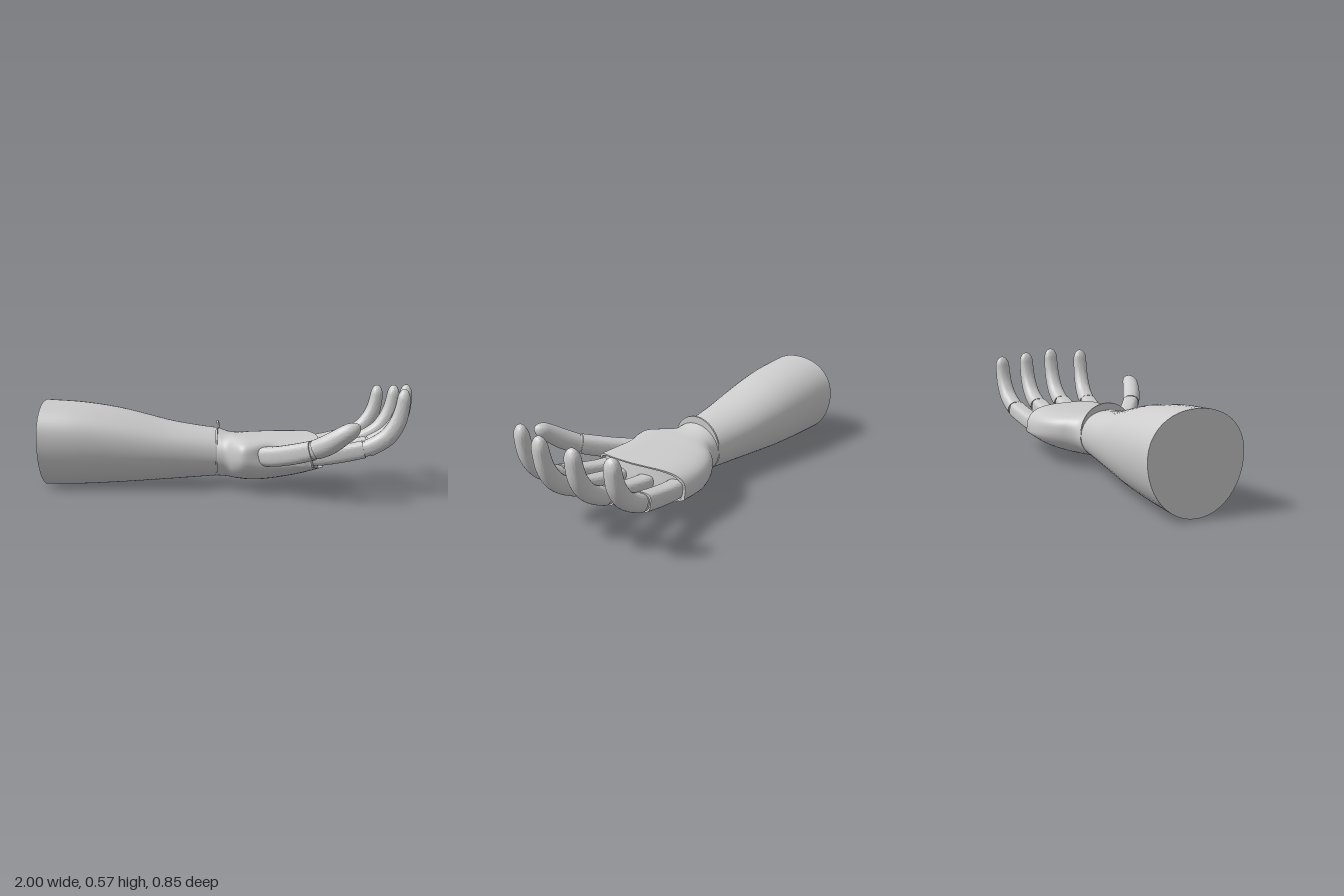
import * as THREE from 'three';
import { toCreasedNormals } from 'three/addons/utils/BufferGeometryUtils.js';

const material = new THREE.MeshStandardMaterial({ color: 0xcccccc });
const SIDES = 48;

// Smooth interpolation of rows [t, a, b, ...]
function table(rows) {
  const n = rows[0].length - 1;
  const curve = new THREE.CubicInterpolant(rows.map(r => r[0]), rows.flatMap(r => r.slice(1)), n, new Float32Array(n));
  return t => Array.from(curve.evaluate(t));
}

// Superellipse unit circle
function unit(j, n) {
  const a = (j / SIDES) * Math.PI * 2, p = 2 / n;
  const f = v => Math.sign(v) * Math.abs(v) ** p;
  return [f(Math.cos(a)), f(Math.sin(a))];
}

// Skin closed rings and cap both ends
function loft(name, rings, crease = 0.6) {
  const pos = rings.flat().flatMap(v => v.toArray()), idx = [];
  const last = rings.length - 1;
  for (let i = 0; i < last; i++) for (let j = 0; j < SIDES; j++) {
    const k = (j + 1) % SIDES, a = i * SIDES, b = a + SIDES;
    idx.push(a + j, a + k, b + k, a + j, b + k, b + j);
  }
  for (const i of [0, last]) {
    const c = rings[i].reduce((s, v) => s.add(v), new THREE.Vector3()).divideScalar(SIDES);
    const ci = pos.length / 3;
    pos.push(c.x, c.y, c.z);
    for (let j = 0; j < SIDES; j++) {
      const p = i * SIDES + j, q = i * SIDES + (j + 1) % SIDES;
      if (i) idx.push(ci, p, q); else idx.push(ci, q, p);
    }
  }
  const g = new THREE.BufferGeometry();
  g.setAttribute('position', new THREE.Float32BufferAttribute(pos, 3));
  g.setIndex(idx);
  const mesh = new THREE.Mesh(toCreasedNormals(g, crease), material);
  mesh.name = name;
  return mesh;
}

// Section across x: z range, bottom, top, height of widest line, upper and lower squareness
function section(xAt, [z0, z1, bottom, top, mid, nu, nl], scale = 1) {
  return Array.from({ length: SIDES }, (_, j) => {
    const up = Math.cos((j / SIDES) * Math.PI * 2) > 0;
    const [u, v] = unit(j, up ? nu : nl);
    const y = mid + u * scale * (up ? top - mid : mid - bottom);
    const z = (z0 + z1) / 2 + v * scale * (z1 - z0) / 2;
    return new THREE.Vector3(xAt(z, y), y, z);
  });
}

function forearm() {
  const at = table([
    [-1, -0.335, 0.135, 0.0, 0.477, 0.27],
    [-0.8, -0.328, 0.13, 0.004, 0.464, 0.262],
    [-0.6, -0.313, 0.115, 0.015, 0.435, 0.245],
    [-0.45, -0.292, 0.102, 0.026, 0.4, 0.23],
    [-0.3, -0.27, 0.088, 0.038, 0.363, 0.215],
    [-0.15, -0.248, 0.074, 0.051, 0.338, 0.2],
    [-0.048, -0.235, 0.066, 0.06, 0.325, 0.19]]);
  const rings = [];
  for (let i = 0; i <= 30; i++) {
    const x = -1 + (i / 30) * 0.952;
    rings.push(section(() => x, [...at(x), 2.15, 2]));
  }
  return loft('forearm', rings);
}

function palm() {
  const at = table([
    [0, -0.235, 0.068, 0.06, 0.325, 0.19, 2, 2],
    [0.1, -0.24, 0.085, 0.057, 0.305, 0.19, 2.3, 2],
    [0.18, -0.265, 0.14, 0.053, 0.297, 0.19, 2.8, 2],
    [0.28, -0.305, 0.187, 0.05, 0.295, 0.19, 3.2, 2],
    [0.42, -0.342, 0.192, 0.05, 0.293, 0.185, 3.5, 2],
    [0.6, -0.37, 0.17, 0.06, 0.293, 0.175, 3.6, 2],
    [0.8, -0.383, 0.165, 0.085, 0.293, 0.165, 3.6, 2],
    [1, -0.385, 0.165, 0.125, 0.293, 0.155, 3.6, 2]]);
  // Curved, slightly leaning knuckle edge
  const end = (z, y) => 0.53 - (z > 0 ? 2.57 : 0.81) * z * z - 0.03 * Math.max(0, y - 0.15) / 0.14;
  const rings = [];
  for (let i = 0; i <= 40; i++) {
    const t = i / 40;
    rings.push(section((z, y) => -0.04 + t * (end(z, y) + 0.04), at(t)));
  }
  // Recessed face behind a rim
  for (const s of [0.94, 0.9, 0.6, 0.3])
    rings.push(section((z, y) => end(z, y) - (s > 0.92 ? 0.004 : 0.025), at(1), s));
  // Hollow around the thumb root
  for (const v of rings.flat()) {
    if (v.z < 0.05) continue;
    const d = ((v.x - 0.25) / 0.1) ** 2 + ((v.y - 0.215) / 0.05) ** 2;
    v.z -= 0.03 * Math.exp(-d);
  }
  return loft('palm', rings);
}

// Digit segment: rows [x, y, z, half width, half thickness], side is the hinge axis
function segment(name, rows, side, squareness, roundEnd = 0) {
  const at = table(rows.map((r, i) => [i / (rows.length - 1), ...r]));
  const rings = [], N = 28;
  for (let i = 0; i <= N; i++) {
    // Rings gather toward a rounded tip
    const t = roundEnd ? Math.sin((i / N) * Math.PI / 2) : i / N;
    const [x, y, z, w, h] = at(t);
    const p = at(Math.max(0, t - 0.01)), q = at(Math.min(1, t + 0.01));
    const d = new THREE.Vector3(q[0] - p[0], q[1] - p[1], q[2] - p[2]).normalize();
    const u = new THREE.Vector3().crossVectors(side, d).normalize();
    const r = Math.max(0, (t - 1 + roundEnd) / (roundEnd || 1));
    const f = roundEnd ? Math.max(0.02, Math.sqrt(Math.max(0, 1 - r * r))) : 1;
    rings.push(Array.from({ length: SIDES }, (_, j) => {
      const [a, b] = unit(j, squareness);
      return new THREE.Vector3(x, y, z).addScaledVector(u, a * h * f).addScaledVector(side, b * w * f);
    }));
  }
  return loft(name, rings, 0.7);
}

// Finger from base (x, z) to tip (x, z) with a given tip height
function finger(name, bx, bz, tx, tz, top) {
  const g = new THREE.Group();
  g.name = name;
  const side = new THREE.Vector3(bz - tz, 0, tx - bx).normalize();
  const place = rows => rows.map(([x, y, w, h]) => {
    const s = (x - 0.48) / 0.52;
    return [bx + s * (tx - bx), 0.2 + (y - 0.2) * (top - 0.2) / 0.372, bz + s * (tz - bz), w, h];
  });
  g.add(
    segment('lowerSegment', place([[0.48, 0.195, 0.044, 0.044], [0.55, 0.2, 0.046, 0.045],
      [0.66, 0.22, 0.046, 0.045], [0.765, 0.245, 0.047, 0.045]]), side, 3.4),
    segment('joint', place([[0.75, 0.24, 0.041, 0.039], [0.775, 0.247, 0.041, 0.039],
      [0.805, 0.26, 0.041, 0.039]]), side, 2.8),
    segment('fingertip', place([[0.785, 0.25, 0.047, 0.045], [0.85, 0.285, 0.046, 0.045],
      [0.9, 0.327, 0.045, 0.045], [0.943, 0.4, 0.043, 0.042],
      [0.964, 0.485, 0.041, 0.036], [0.971, 0.572, 0.039, 0.031]]), side, 2.4, 0.14));
  return g;
}

function thumb() {
  const g = new THREE.Group();
  g.name = 'thumb';
  const side = new THREE.Vector3(-0.5, 0, 0.86).normalize();
  g.add(
    segment('thumbBase', [[0.19, 0.2, 0.12, 0.046, 0.05], [0.28, 0.212, 0.185, 0.046, 0.052],
      [0.37, 0.235, 0.245, 0.047, 0.052], [0.455, 0.262, 0.3, 0.047, 0.05]], side, 3),
    segment('thumbJoint', [[0.44, 0.257, 0.29, 0.042, 0.045], [0.46, 0.264, 0.302, 0.042, 0.045],
      [0.49, 0.276, 0.32, 0.042, 0.045]], side, 2.5),
    segment('thumbTip', [[0.47, 0.268, 0.31, 0.048, 0.05], [0.53, 0.3, 0.342, 0.052, 0.052],
      [0.6, 0.35, 0.372, 0.049, 0.046], [0.672, 0.4, 0.392, 0.042, 0.036]], side, 2.2, 0.22));
  return g;
}

export function createModel() {
  const model = new THREE.Group();
  model.name = 'forearmAndHand';
  // Thin plate between forearm and palm
  const plate = new THREE.Mesh(new THREE.CylinderGeometry(1, 1, 0.01, 64), material);
  plate.name = 'wristPlate';
  plate.rotation.z = Math.PI / 2;
  plate.scale.set(0.153, 1, 0.15);
  plate.position.set(-0.045, 0.211, -0.085);
  model.add(
    forearm(), plate, palm(), thumb(),
    finger('indexFinger', 0.46, 0.095, 0.955, 0.163, 0.562),
    finger('middleFinger', 0.48, -0.028, 1, -0.028, 0.572),
    finger('ringFinger', 0.45, -0.178, 0.965, -0.207, 0.556),
    finger('littleFinger', 0.39, -0.325, 0.9, -0.385, 0.542));
  return model;
}
